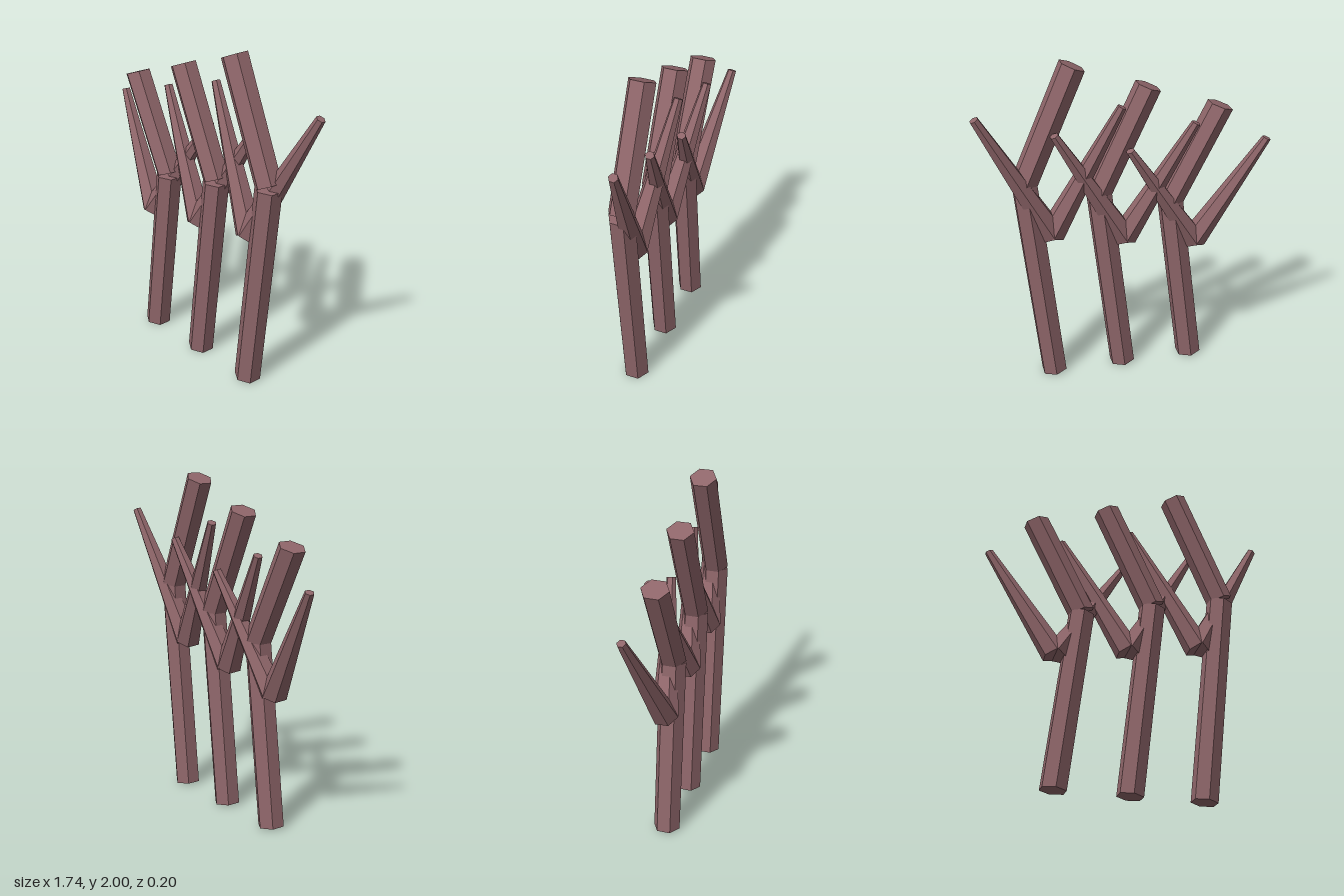
import * as THREE from 'three';

const bark = new THREE.MeshStandardMaterial({ color: 0x8f666a });
bark.name = 'dusty mauve bark';

// Six-sided limb from a to b with one ridge facing front, tapering from r0 to r1
function limb(name, a, b, r0, r1) {
  const start = new THREE.Vector3(...a);
  const end = new THREE.Vector3(...b);
  const dir = end.clone().sub(start);
  const length = dir.length();
  const y = dir.normalize();
  const z = new THREE.Vector3(0, 0, 1).addScaledVector(y, -y.z).normalize();
  const x = new THREE.Vector3().crossVectors(y, z);

  const geometry = new THREE.CylinderGeometry(r1, r0, length, 6).toNonIndexed();
  geometry.applyMatrix4(new THREE.Matrix4().makeBasis(x, y, z).setPosition(start.add(end).multiplyScalar(0.5)));
  geometry.computeVertexNormals(); // faceted sides
  const mesh = new THREE.Mesh(geometry, bark);
  mesh.name = name;
  return mesh;
}

// One bare tree: leaning trunk, thick bent top, and two thin branches forking low
function makeTree() {
  const tree = new THREE.Group();
  const fork = [-0.013, 0.958, 0.02];
  tree.add(
    limb('trunk', [0, 0.008, 0.02], [0.138, 1.285, 0.02], 0.08, 0.08),
    limb('upperTrunk', [0.138, 1.3, 0.02], [-0.154, 1.973, 0.02], 0.08, 0.08),
    limb('rightBranch', fork, [-0.415, 1.742, -0.075], 0.08, 0.027),
    limb('leftBranch', fork, [0.411, 1.74, -0.075], 0.08, 0.027),
  );
  return tree;
}

export function createModel() {
  const model = new THREE.Group();
  model.name = 'bareTrees';
  // Three trees in a row, growing taller toward +x
  [0.846, 0.923, 1].forEach((height, i) => {
    const tree = makeTree();
    tree.name = ['shortTree', 'middleTree', 'tallTree'][i];
    tree.position.x = (i - 1) * 0.437;
    tree.scale.y = height;
    model.add(tree);
  });
  return model;
}
